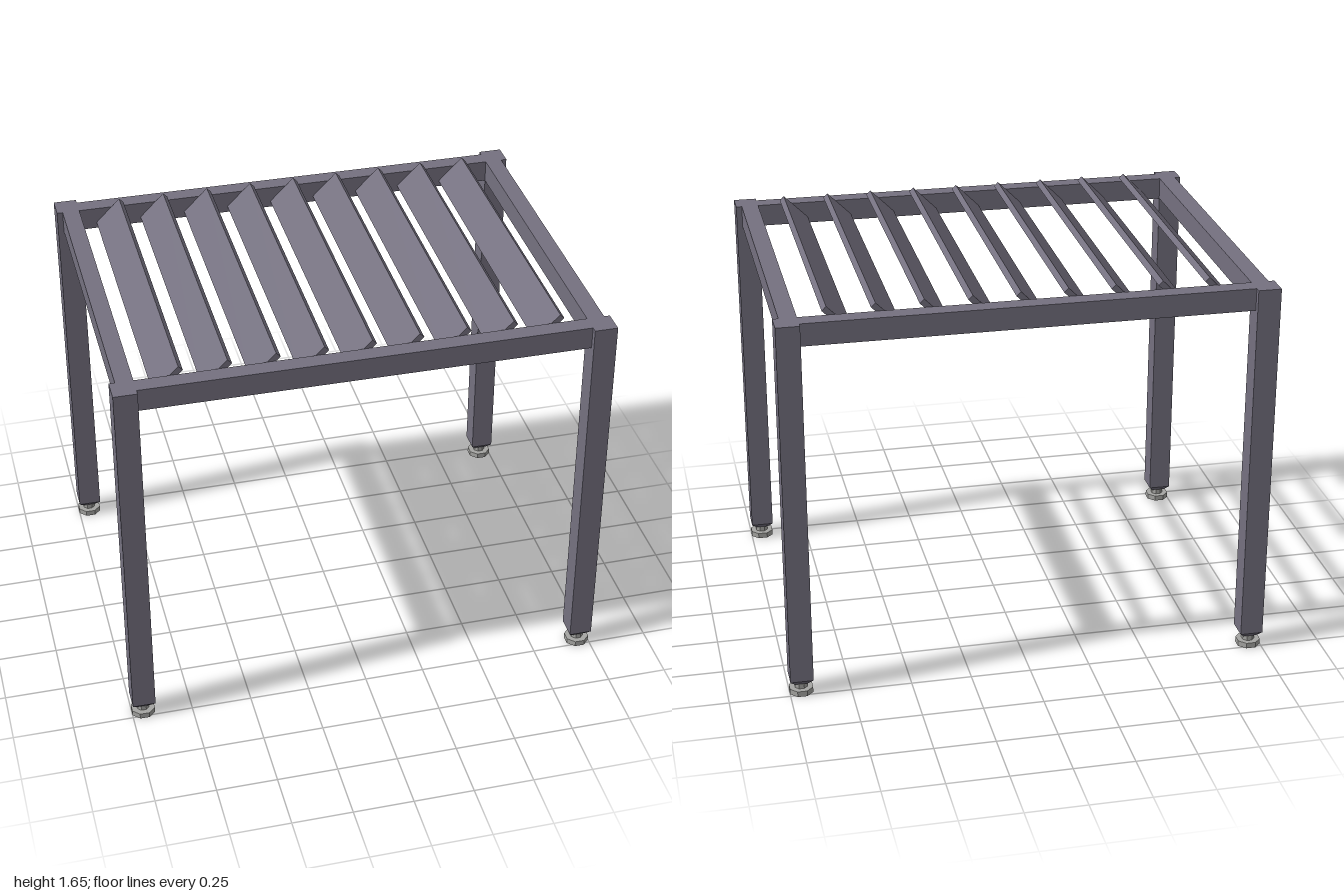
import * as THREE from 'three';

export function createModel() {
  const model = new THREE.Group();
  model.name = 'louveredPergola';
  const frameMat = new THREE.MeshStandardMaterial({ color: 0x757180 });
  frameMat.name = 'frame grey';
  const footMat = new THREE.MeshStandardMaterial({ color: 0xa6a6a3, flatShading: true });
  footMat.name = 'foot grey';
  const taperMat = frameMat;

  const HX = 1, HZ = 0.762, POST = 0.095, TOP = 1.62;
  const BEAM_H = 0.093, BEAM_T = 0.071;
  const innerX = HX - POST, innerZ = HZ - POST;

  const add = (name, geo, mat, x, y, z, parent = model) => {
    const mesh = new THREE.Mesh(geo, mat);
    mesh.name = name;
    mesh.position.set(x, y, z);
    parent.add(mesh);
    return mesh;
  };

  // Regular prism whose flat sides face the axes; width is flat to flat
  const prism = (sides, topWidth, bottomWidth, height) => {
    const k = 0.5 / Math.cos(Math.PI / sides);
    return new THREE.CylinderGeometry(topWidth * k, bottomWidth * k, height, sides)
      .rotateY(Math.PI / sides)
      .toNonIndexed();
  };
  const flat = (geo) => {
    geo.computeVertexNormals();
    return geo;
  };

  // Corner posts with tapered ends and levelling feet
  const postGeo = new THREE.BoxGeometry(POST, TOP - 0.07, POST);
  const taperGeo = flat(prism(4, POST, 0.055, 0.022));
  const neckGeo = flat(prism(8, 0.05, 0.05, 0.026));
  const footGeo = flat(prism(8, POST, POST, 0.024));
  for (const sx of [-1, 1]) {
    for (const sz of [-1, 1]) {
      const leg = new THREE.Group();
      leg.name = (sz > 0 ? 'front' : 'back') + (sx > 0 ? 'Left' : 'Right') + 'Leg';
      leg.position.set(sx * (HX - POST / 2), 0, sz * (HZ - POST / 2));
      add('post', postGeo, frameMat, 0, (TOP + 0.07) / 2, 0, leg);
      add('postTaper', taperGeo, taperMat, 0, 0.059, 0, leg);
      add('footNeck', neckGeo, footMat, 0, 0.036, 0, leg);
      add('footPad', footGeo, footMat, 0, 0.012, 0, leg);
      model.add(leg);
    }
  }

  // Top frame, flush with the inner faces of the posts
  const beamY = TOP - BEAM_H / 2;
  const longGeo = new THREE.BoxGeometry(innerX * 2, BEAM_H, BEAM_T);
  const sideGeo = new THREE.BoxGeometry(BEAM_T, BEAM_H, innerZ * 2);
  for (const s of [-1, 1]) {
    add(s > 0 ? 'frontBeam' : 'backBeam', longGeo, frameMat, 0, beamY, s * (innerZ + BEAM_T / 2));
    add(s > 0 ? 'leftBeam' : 'rightBeam', sideGeo, frameMat, s * (innerX + BEAM_T / 2), beamY, 0);
  }

  // Nine roof louvres tilted by 45 degrees
  const slatGeo = new THREE.BoxGeometry(0.144, 0.025, innerZ * 2);
  for (let i = 0; i < 9; i++) {
    const slat = add('roofSlat' + (i + 1), slatGeo, frameMat, -0.774 + i * 0.1905, 1.595, 0);
    slat.rotation.z = Math.PI / 4;
  }
  return model;
}
